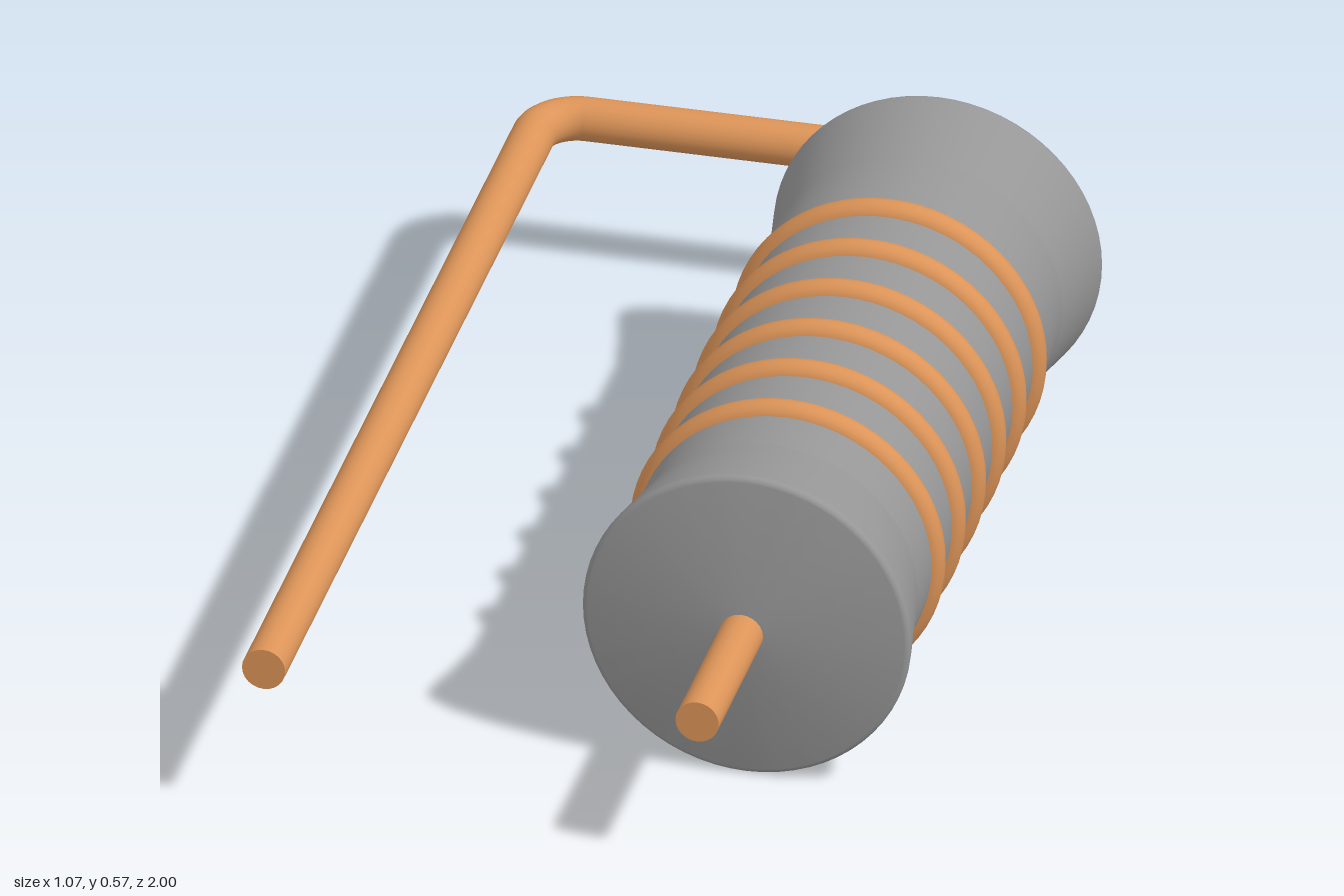
import * as THREE from 'three';
import { toCreasedNormals } from 'three/addons/utils/BufferGeometryUtils.js';

export function createModel() {
  const model = new THREE.Group();
  const grey = new THREE.MeshStandardMaterial({ color: 0x969696 });
  const copper = new THREE.MeshStandardMaterial({ color: 0xdc9458 });

  const axisX = 0.25, axisY = 0.284, bodyZ = -0.017;
  const wireR = 0.0375, bendR = 0.075;
  const farX = -0.5, backZ = -1 + wireR;

  function add(name, geometry, material, x, y, z) {
    const mesh = new THREE.Mesh(geometry, material);
    mesh.name = name;
    mesh.position.set(x, y, z);
    model.add(mesh);
    return mesh;
  }

  // Body: a straight barrel with flared ends, softened rims and shallow conical caps
  const half = [[0.255, 0.505]];
  const rimR = 0.012, rimSteps = 16;
  for (let i = 0; i <= rimSteps; i++) {
    const a = THREE.MathUtils.lerp(-0.17, 1.45, i / rimSteps);
    half.push([0.272 + rimR * Math.cos(a), 0.666 + rimR * Math.sin(a)]);
  }
  half.push([0, 0.712]);
  const profile = [
    ...half.map(([r, z]) => new THREE.Vector2(r, -z)).reverse(),
    ...half.map(([r, z]) => new THREE.Vector2(r, z)),
  ];
  const body = toCreasedNormals(new THREE.LatheGeometry(profile, 64), 0.16);
  body.rotateX(Math.PI / 2);
  add('body', body, grey, axisX, axisY, bodyZ);

  // Six evenly spaced wire bands around the barrel
  for (let i = 0; i < 6; i++) {
    const z = bodyZ + 0.03 + (i - 2.5) * 0.1415;
    add('band' + (i + 1), new THREE.TorusGeometry(0.247, 0.026, 16, 64), copper, axisX, axisY, z);
  }

  // Straight wire runs along z
  function wireAlongZ(name, x, z0, z1) {
    const g = new THREE.CylinderGeometry(wireR, wireR, z1 - z0, 24).rotateX(Math.PI / 2);
    add(name, g, copper, x, axisY, (z0 + z1) / 2);
  }
  const bendZ = backZ + bendR;
  wireAlongZ('frontLead', axisX, 0.6, 1);
  wireAlongZ('backLead', axisX, bendZ, -0.63);
  wireAlongZ('returnLead', farX, bendZ, 1);

  // Cross run at the back
  const crossLength = axisX - farX - 2 * bendR;
  const cross = new THREE.CylinderGeometry(wireR, wireR, crossLength, 24).rotateZ(Math.PI / 2);
  add('crossWire', cross, copper, (axisX + farX) / 2, axisY, backZ);

  // Rounded corners joining the runs
  const bend = new THREE.TorusGeometry(bendR, wireR, 24, 12, Math.PI / 2).rotateX(-Math.PI / 2);
  add('leftBend', bend, copper, axisX - bendR, axisY, bendZ);
  add('rightBend', bend, copper, farX + bendR, axisY, bendZ).rotation.y = Math.PI / 2;

  return model;
}
